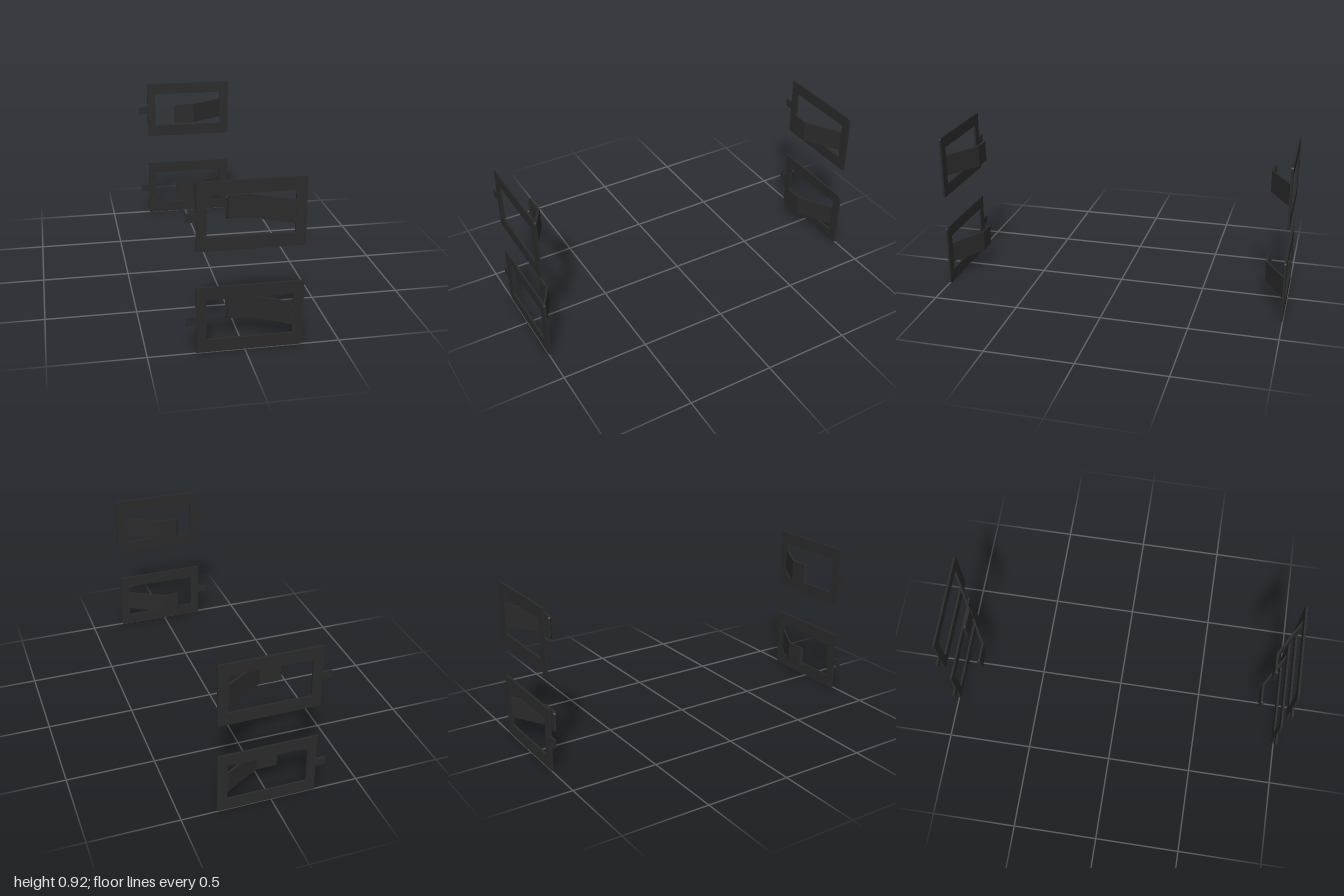
import * as THREE from 'three';

const THICK = 0.012;
const PLATE_Z = 0.988;
const material = new THREE.MeshStandardMaterial({ color: 0x2a2a2a });

// Flat frame with a side tab, two rounded corners and a window
function frameGeometry() {
  const h = 0.18, r = 0.014, tab = 0.023;
  const s = new THREE.Shape();
  s.moveTo(-0.25, -h);
  s.lineTo(0.302 - r, -h);
  s.absarc(0.302 - r, -h + r, r, -Math.PI / 2, 0);
  s.lineTo(0.302, h - r);
  s.absarc(0.302 - r, h - r, r, 0, Math.PI / 2);
  s.lineTo(-0.25, h);
  s.lineTo(-0.25, tab);
  s.lineTo(-0.303, tab);
  s.lineTo(-0.303, -tab);
  s.lineTo(-0.25, -tab);
  s.closePath();

  const hole = new THREE.Path();
  hole.moveTo(-0.197, -0.111);
  hole.lineTo(-0.197, 0.111);
  hole.lineTo(0.247, 0.111);
  hole.lineTo(0.247, -0.111);
  hole.closePath();
  s.holes.push(hole);

  const g = new THREE.ExtrudeGeometry(s, { depth: THICK, bevelEnabled: false, curveSegments: 5 });
  return g.translate(0, 0, PLATE_Z);
}

// Bent strip: stations of [x, z, half height] from the root to the curled, rounded tip
function tongueGeometry() {
  const stations = [
    [0.248, 0.994, 0.0615], [0.24, 0.992, 0.0615], [0.042, 0.876, 0.0615],
    [-0.062, 0.876, 0.0615], [-0.068, 0.878, 0.0605], [-0.073, 0.882, 0.0575], [-0.077, 0.886, 0.0505],
  ];
  const path = stations.map(([x, z]) => new THREE.Vector2(x, z));
  const last = path.length - 1;
  const normalOf = (i) => {
    const t = path[i + 1].clone().sub(path[i]).normalize();
    return new THREE.Vector2(t.y, -t.x);
  };
  const pos = [], index = [];
  stations.forEach(([x, z, half], i) => {
    // Mitred offset keeps the sheet thickness constant through each bend
    const n0 = normalOf(Math.max(i - 1, 0)), n1 = normalOf(Math.min(i, last - 1));
    const n = n0.clone().add(n1).normalize();
    n.multiplyScalar(THICK / 2 / n.dot(n0));
    for (const [sy, sn] of [[1, 1], [-1, 1], [-1, -1], [1, -1]]) {
      pos.push(x + sn * n.x, sy * half, z + sn * n.y);
    }
    if (i === last) return;
    for (let k = 0; k < 4; k++) {
      const a = i * 4 + k, d = i * 4 + (k + 1) % 4;
      index.push(a, a + 4, d + 4, a, d + 4, d);
    }
  });
  const e = last * 4;
  index.push(0, 1, 2, 0, 2, 3, e, e + 2, e + 1, e, e + 3, e + 2);

  const g = new THREE.BufferGeometry();
  g.setAttribute('position', new THREE.Float32BufferAttribute(pos, 3));
  g.setIndex(index);
  const flat = g.toNonIndexed();
  flat.computeVertexNormals();
  return flat;
}

export function createModel() {
  const model = new THREE.Group();
  model.name = 'springClips';
  const frame = frameGeometry();
  const tongue = tongueGeometry();

  // Upper and lower clips, front and back, tongues pointing inwards
  for (const [level, y] of [['lower', 0.18], ['upper', 0.735]]) {
    for (const side of ['Front', 'Back']) {
      const clip = new THREE.Group();
      clip.name = `${level}${side}Clip`;
      for (const [name, geometry] of [['frame', frame], ['springTongue', tongue]]) {
        const mesh = new THREE.Mesh(geometry, material);
        mesh.name = name;
        clip.add(mesh);
      }
      // A clip is symmetric in height, so a half turn about x mirrors it to the back
      if (side === 'Back') clip.rotation.x = Math.PI;
      clip.position.y = y;
      model.add(clip);
    }
  }
  return model;
}
